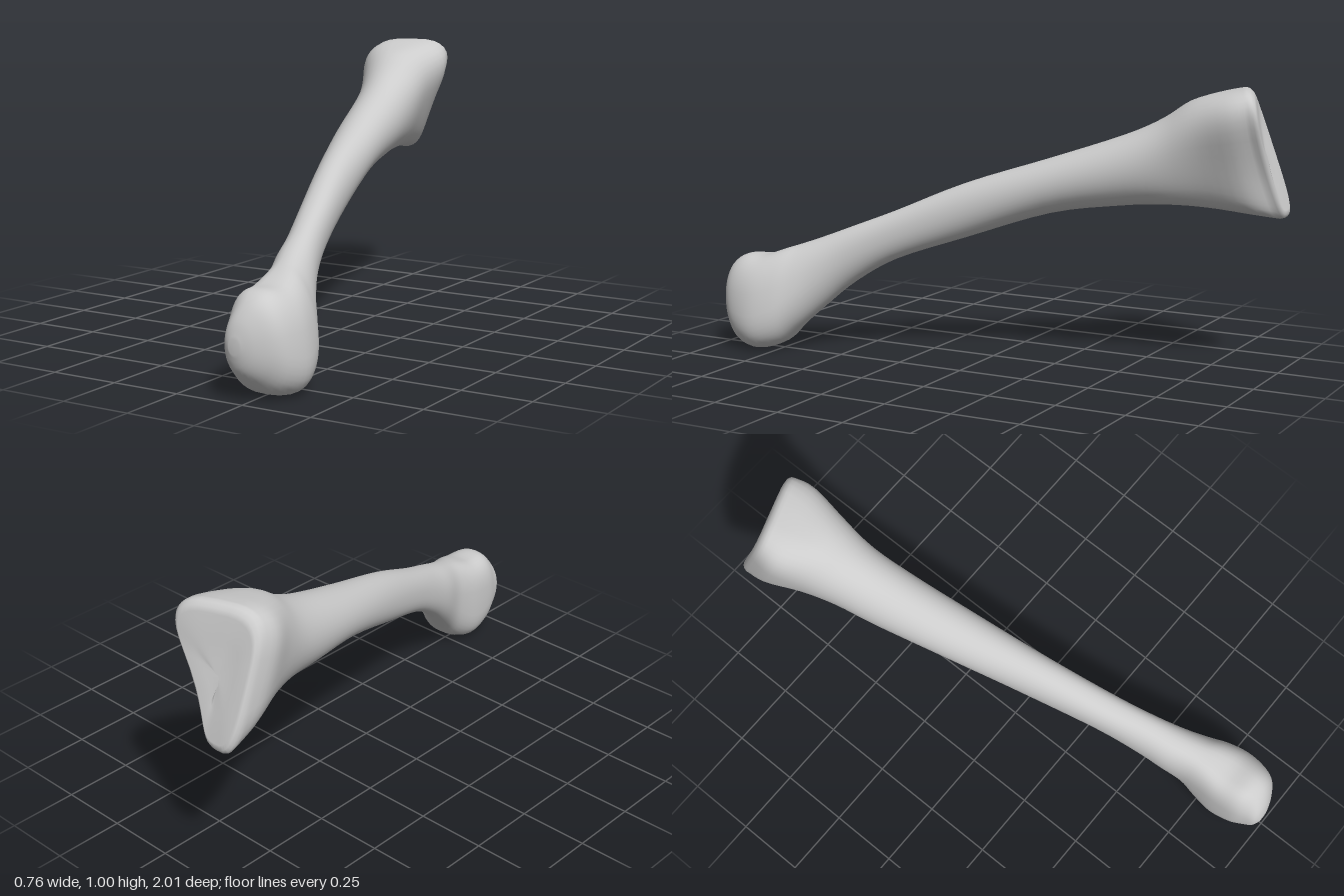
import * as THREE from 'three';

// Cross-sections from the rounded head (front) to the flat base (back):
// z, centre x, centre y, half width, half height, squareness, taper, skew
const SECTIONS = [
  [1.0, 0.22, 0.18, 0.02, 0.025, 2, 0, 0],
  [0.985, 0.231, 0.18, 0.055, 0.08, 2.1, 0, 0],
  [0.95, 0.25, 0.185, 0.09, 0.13, 2.2, -0.05, 0],
  [0.9, 0.256, 0.18, 0.113, 0.165, 2.4, -0.08, -0.01],
  [0.82, 0.257, 0.174, 0.123, 0.174, 2.6, -0.1, -0.015],
  [0.74, 0.246, 0.2, 0.112, 0.175, 2.4, -0.12, -0.02],
  [0.68, 0.225, 0.24, 0.096, 0.155, 2.2, -0.1, -0.02],
  [0.6, 0.186, 0.295, 0.083, 0.13, 2.1, 0, -0.01],
  [0.5, 0.148, 0.36, 0.07, 0.105, 2.1, 0, 0],
  [0.35, 0.098, 0.436, 0.066, 0.09, 2.15, 0, 0],
  [0.1, 0.02, 0.535, 0.075, 0.1, 2.05, 0, 0],
  [-0.2, -0.065, 0.635, 0.095, 0.1, 2, 0, 0],
  [-0.45, -0.127, 0.697, 0.11, 0.125, 2, 0, 0],
  [-0.6, -0.158, 0.735, 0.12, 0.152, 2, 0.05, 0],
  [-0.72, -0.183, 0.765, 0.137, 0.188, 2.1, 0.15, 0.015],
  [-0.85, -0.213, 0.772, 0.155, 0.215, 2.5, 0.25, 0.035],
  [-0.925, -0.238, 0.772, 0.13, 0.229, 2.8, 0.4, 0.05],
];
const SIDES = 40;
const STEPS = 4;

// Smooth interpolation of all section values at once
function sectionAt(t) {
  const last = SECTIONS.length - 1;
  const i = Math.min(Math.floor(t), last - 1);
  const f = t - i;
  const row = (k) => SECTIONS[THREE.MathUtils.clamp(k, 0, last)];
  return row(i).map((p1, c) => {
    const p0 = row(i - 1)[c], p2 = row(i + 1)[c], p3 = row(i + 2)[c];
    const m1 = (p2 - p0) / 2, m2 = (p3 - p1) / 2;
    const d = p2 - p1;
    return p1 + f * (m1 + f * (3 * d - 2 * m1 - m2 + f * (m1 + m2 - 2 * d)));
  });
}

// One rounded, tapered ring, squarer on its right side;
// near the base it leans to follow the slanted end and is hollowed on its left
function addRing(positions, [z, cx, cy, hw, hh, n, taper, skew]) {
  const lean = 1 - THREE.MathUtils.smoothstep(z, -0.9, -0.45);
  for (let j = 0; j < SIDES; j++) {
    const a = (j / SIDES) * Math.PI * 2;
    const c = Math.cos(a), s = Math.sin(a);
    const square = c < 0 ? 2 + (n - 2) * 2 : n;
    const power = (v) => Math.sign(v) * Math.abs(v) ** (2 / square);
    const u = power(c), v = power(s);
    const hollow = 0.025 * lean * Math.max(u, 0) * (1 - v * v) * (1 - v);
    const dx = hw * u * (1 + taper * v) + skew * v - hollow;
    const dy = hh * v;
    positions.push(cx + dx, cy + dy, z + lean * (0.27 * dy - 0.18 * dx * (1 + v)));
  }
}

function boneGeometry() {
  const positions = [];
  const rings = [];
  for (let k = 0; k <= (SECTIONS.length - 1) * STEPS; k++) rings.push(sectionAt(k / STEPS));

  // Rounded rim and slightly hollow face closing the base
  const end = rings[rings.length - 1];
  for (const [scale, dz] of [[0.98, -0.013], [0.93, -0.023], [0.86, -0.027], [0.5, -0.018], [0.15, -0.014]]) {
    const r = [...end];
    r[0] += dz;
    r[3] *= scale;
    r[4] *= scale;
    r[7] *= scale;
    rings.push(r);
  }
  rings.forEach((r) => addRing(positions, r));

  const index = [];
  for (let i = 0; i < rings.length - 1; i++) {
    for (let j = 0; j < SIDES; j++) {
      const a = i * SIDES + j, b = i * SIDES + ((j + 1) % SIDES);
      index.push(a, a + SIDES, b, b, a + SIDES, b + SIDES);
    }
  }

  // Centre points closing both ends
  const front = rings.length * SIDES, back = front + 1;
  const final = rings[rings.length - 1];
  positions.push(rings[0][1], rings[0][2], 1, final[1], final[2], final[0]);
  for (let j = 0; j < SIDES; j++) {
    const k = (j + 1) % SIDES, o = (rings.length - 1) * SIDES;
    index.push(front, j, k, back, o + k, o + j);
  }

  const geometry = new THREE.BufferGeometry();
  geometry.setAttribute('position', new THREE.Float32BufferAttribute(positions, 3));
  geometry.setIndex(index);
  geometry.computeVertexNormals();
  return geometry;
}

export function createModel() {
  const group = new THREE.Group();
  group.name = 'longBone';
  const bone = new THREE.Mesh(boneGeometry(), new THREE.MeshStandardMaterial({ color: 0xcccccc }));
  bone.name = 'bone';
  group.add(bone);
  return group;
}
